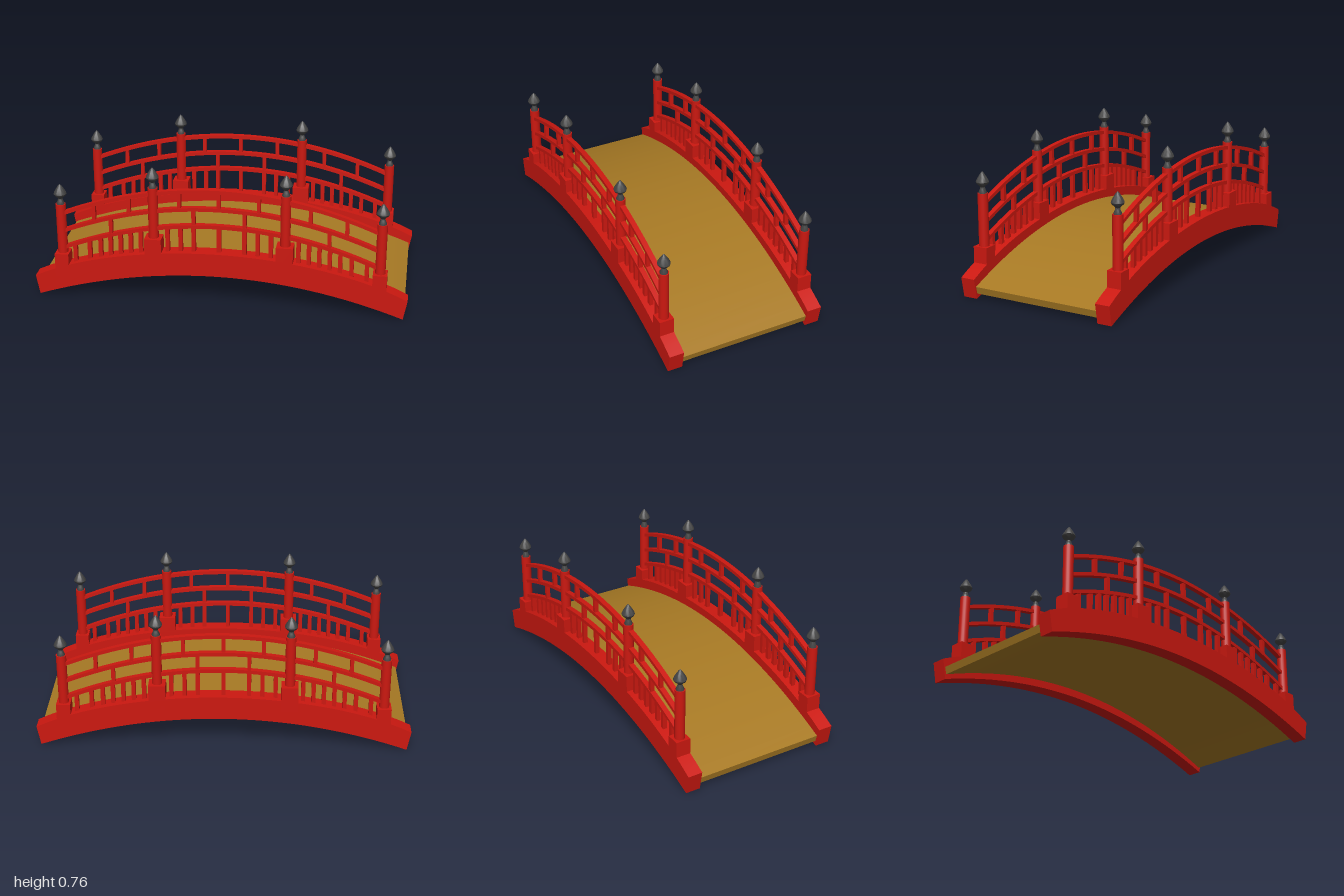
import * as THREE from 'three';
import { toCreasedNormals } from 'three/addons/utils/BufferGeometryUtils.js';

const RED = new THREE.MeshStandardMaterial({ color: 0xcc1810 });
const WOOD = new THREE.MeshStandardMaterial({ color: 0xa87a24 });
const IRON = new THREE.MeshStandardMaterial({ color: 0x444444 });

const SIDE_Z = 0.4;   // centre of each side beam and railing
const SEGMENTS = 32;

// Heights along the arch
const beamTop = x => 0.31 - 0.17 * x * x - 0.027 * x ** 6;
const beamBottom = x => 0.18 - 0.182 * x * x;
const deckTop = x => 0.265 - 0.2 * x * x;
const railHeight = (x, crown) => crown - 0.25 * x * x;
const RAIL_CROWNS = [0.455, 0.553, 0.654];

// Solid band between two curves, extruded across z and centred on z = 0
function archBand(top, bottom, x0, x1, b0, b1, depth) {
  const points = [];
  for (let i = 0; i <= SEGMENTS; i++) {
    const x = b0 + (b1 - b0) * i / SEGMENTS;
    points.push(new THREE.Vector2(x, bottom(x)));
  }
  for (let i = SEGMENTS; i >= 0; i--) {
    const x = x0 + (x1 - x0) * i / SEGMENTS;
    points.push(new THREE.Vector2(x, top(x)));
  }
  const geo = new THREE.ExtrudeGeometry(new THREE.Shape(points), { depth, bevelEnabled: false });
  geo.translate(0, 0, -depth / 2);
  return toCreasedNormals(geo, 0.5);
}

function add(parent, name, geo, material, x = 0, y = 0, z = 0) {
  const mesh = new THREE.Mesh(geo, material);
  mesh.name = name;
  mesh.position.set(x, y, z);
  parent.add(mesh);
  return mesh;
}

// Upright from y0 to y1
function upright(parent, name, x, y0, y1, width, depth) {
  add(parent, name, new THREE.BoxGeometry(width, y1 - y0, depth), RED, x, (y0 + y1) / 2);
}

// Pointed onion finial with a narrow neck
const finialGeometry = toCreasedNormals(new THREE.LatheGeometry([
  [0, 0], [0.021, 0], [0.021, 0.006], [0.014, 0.022], [0.012, 0.032], [0.017, 0.039],
  [0.03, 0.05], [0.034, 0.059], [0.031, 0.069], [0.02, 0.088], [0.009, 0.105], [0, 0.115],
].map(p => new THREE.Vector2(...p)), 20), 0.7);

// Round post on a square plinth
function post(parent, x, plinthTop, top, plinthWidth) {
  upright(parent, 'plinth', x, beamTop(Math.abs(x)) - 0.06, plinthTop, plinthWidth, 0.08);
  const bottom = plinthTop - 0.01;
  add(parent, 'post', new THREE.CylinderGeometry(0.027, 0.027, top - bottom, 20), RED, x, (top + bottom) / 2);
  add(parent, 'finial', finialGeometry, IRON, x, top);
}

function createSide() {
  const side = new THREE.Group();

  add(side, 'sideBeam', archBand(beamTop, beamBottom, -1, 1, -0.98, 0.98, 0.08), RED);

  // Three curved rails between the end posts
  for (const crown of RAIL_CROWNS) {
    const rail = archBand(x => railHeight(x, crown) + 0.01, x => railHeight(x, crown) - 0.01,
      -0.84, 0.84, -0.84, 0.84, 0.028);
    add(side, 'rail', rail, RED);
  }

  const [low, mid, high] = RAIL_CROWNS;
  const between = (name, x, a, b) =>
    upright(side, name, x, railHeight(x, a), railHeight(x, b), 0.02, 0.022);
  const baluster = x =>
    upright(side, 'baluster', x, beamTop(x) - 0.01, railHeight(x, low), 0.022, 0.022);

  baluster(0);
  between('upperStrut', 0, mid, high);
  for (const s of [-1, 1]) {
    post(side, s * 0.35, 0.372, 0.655, 0.09);
    post(side, s * 0.85, 0.25, 0.53, 0.075);
    for (const x of [0.135, 0.205, 0.275, 0.42, 0.475, 0.53, 0.585, 0.64, 0.7, 0.78]) baluster(s * x);
    for (const x of [0.135, 0.58]) between('middleStrut', s * x, low, mid);
    for (const x of [0.21, 0.48, 0.67]) between('upperStrut', s * x, mid, high);
  }
  return side;
}

export function createModel() {
  const model = new THREE.Group();
  model.name = 'archedBridge';

  // Thin arched walkway
  add(model, 'deck', archBand(deckTop, x => deckTop(x) - 0.042, -0.985, 0.985, -0.975, 0.975, 0.724), WOOD);

  // Matching beam and railing on both sides
  for (const s of [-1, 1]) {
    const side = createSide();
    side.name = s > 0 ? 'frontSide' : 'backSide';
    side.position.z = s * SIDE_Z;
    model.add(side);
  }
  return model;
}
